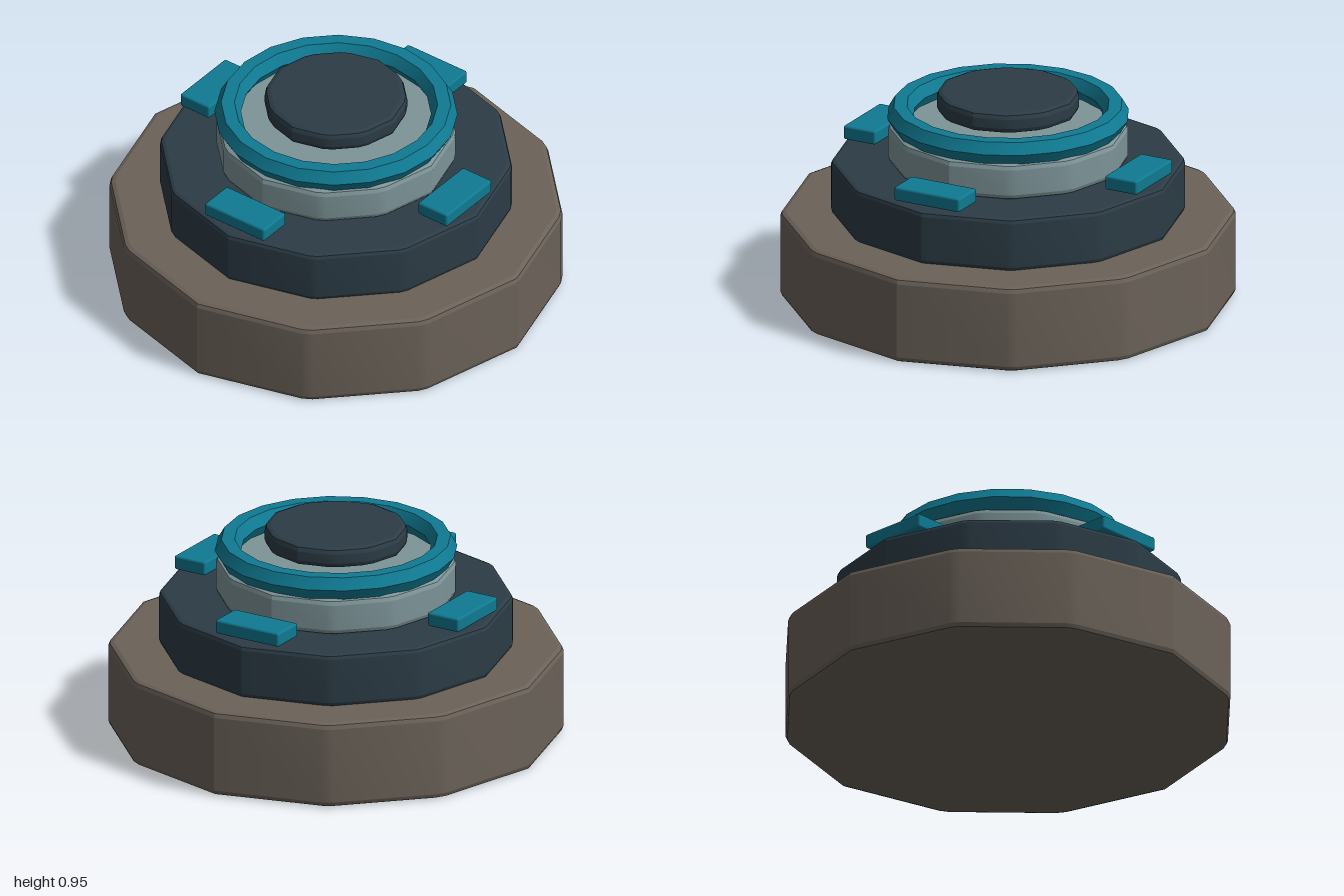
import * as THREE from 'three';
import { RoundedBoxGeometry } from 'three/addons/geometries/RoundedBoxGeometry.js';
import { toCreasedNormals } from 'three/addons/utils/BufferGeometryUtils.js';

const STONE = 0x6b6259, DARK = 0x2c3c46, TEAL = 0x0f7a92, GREY = 0x7d9498;

// Twelve-sided outline with slightly clipped corners, except at the four axis points
function outline(radius, clip) {
  const at = (i) => new THREE.Vector2(Math.cos(i * Math.PI / 6), Math.sin(i * Math.PI / 6)).multiplyScalar(radius);
  const points = [];
  for (let i = 0; i < 12; i++) {
    const p = at(i);
    if (i % 3 === 0) { points.push(p); continue; }
    for (const n of [at(i - 1), at(i + 1)]) {
      points.push(p.clone().add(n.sub(p).setLength(clip)));
    }
  }
  return new THREE.Shape(points);
}

// Bevelled twelve-sided disc standing between two heights
function disc(name, color, radius, bottom, top, bevel) {
  const geometry = new THREE.ExtrudeGeometry(outline(radius, bevel), {
    depth: top - bottom - 2 * bevel,
    bevelSize: bevel, bevelThickness: bevel, bevelOffset: -bevel, bevelSegments: 2,
  });
  geometry.rotateX(-Math.PI / 2).translate(0, bottom + bevel, 0);
  const mesh = new THREE.Mesh(toCreasedNormals(geometry, 0.3), new THREE.MeshStandardMaterial({ color }));
  mesh.name = name;
  return mesh;
}

export function createModel() {
  const model = new THREE.Group();
  model.name = 'steppedPedestal';

  // Stacked tiers and the raised cap
  model.add(
    disc('base', STONE, 1, 0, 0.39, 0.025),
    disc('middleTier', DARK, 0.777, 0.385, 0.627, 0.02),
    disc('upperTier', GREY, 0.53, 0.625, 0.79, 0.025),
    disc('cap', DARK, 0.317, 0.855, 0.947, 0.025),
  );

  // Faceted ring around the cap
  const teal = new THREE.MeshStandardMaterial({ color: TEAL });
  const ringGeometry = new THREE.TorusGeometry(0.473, 0.058, 6, 20);
  ringGeometry.rotateX(-Math.PI / 2);
  const ring = new THREE.Mesh(toCreasedNormals(ringGeometry, 0.4), teal);
  ring.name = 'ring';
  ring.position.y = 0.837;
  model.add(ring);

  // Four pads, one on each side of the middle tier
  const pads = new THREE.Group();
  pads.name = 'pads';
  const padGeometry = new RoundedBoxGeometry(0.326, 0.064, 0.16, 2, 0.01);
  for (let i = 0; i < 4; i++) {
    const angle = i * Math.PI / 2;
    const pad = new THREE.Mesh(padGeometry, teal);
    pad.name = 'pad';
    pad.position.set(Math.sin(angle) * 0.653, 0.672, Math.cos(angle) * 0.653);
    pad.rotation.y = angle;
    pads.add(pad);
  }
  model.add(pads);
  return model;
}
